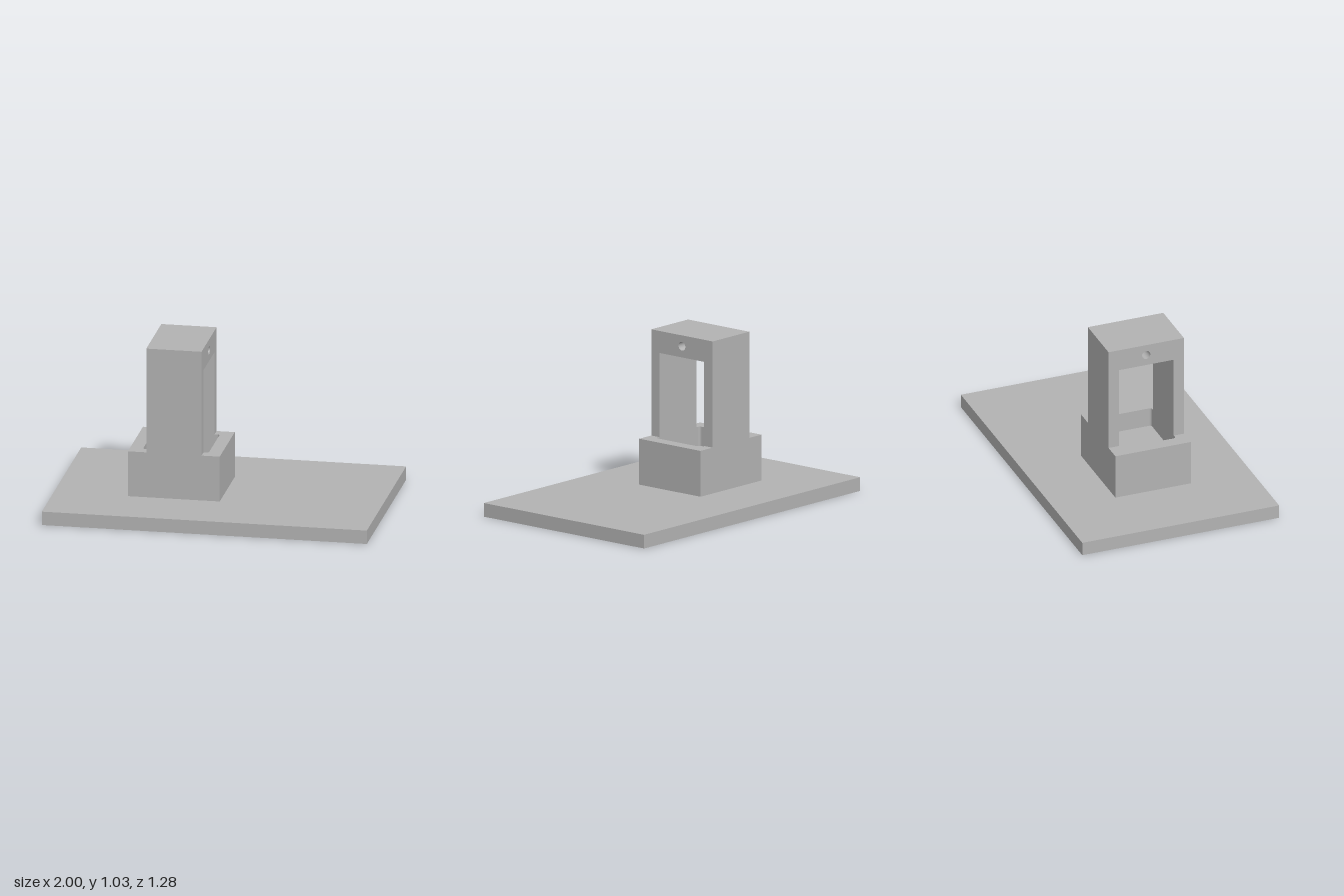
import * as THREE from 'three';

const DEPTH = 0.49; // shared z depth of pedestal and tower
const PLATE_TOP = 0.085, POCKET_FLOOR = 0.25, PEDESTAL_TOP = 0.37, TOWER_TOP = 1.03;

function rectangle(path, x0, y0, x1, y1) {
  path.moveTo(x0, y0).lineTo(x1, y0).lineTo(x1, y1).lineTo(x0, y1).closePath();
  return path;
}

function roundedRectangle(path, x0, y0, x1, y1, r) {
  path.moveTo(x0 + r, y0).lineTo(x1 - r, y0);
  path.absarc(x1 - r, y0 + r, r, -Math.PI / 2, 0, false);
  path.absarc(x1 - r, y1 - r, r, 0, Math.PI / 2, false);
  path.absarc(x0 + r, y1 - r, r, Math.PI / 2, Math.PI, false);
  path.absarc(x0 + r, y0 + r, r, Math.PI, Math.PI * 1.5, false);
  return path;
}

export function createModel() {
  const model = new THREE.Group();
  model.name = 'windowTowerOnPlate';
  const gray = new THREE.MeshStandardMaterial({ color: 0xb2b2b2 });
  gray.name = 'plainGray';

  const add = (name, geometry, x, y, z) => {
    const mesh = new THREE.Mesh(geometry, gray);
    mesh.name = name;
    mesh.position.set(x, y, z);
    model.add(mesh);
  };

  // Flat base plate
  add('basePlate', new THREE.BoxGeometry(2, PLATE_TOP, 1.28), 0, PLATE_TOP / 2, 0);

  // Solid lower pedestal, whose top is the pocket floor
  const lowerHeight = POCKET_FLOOR - PLATE_TOP;
  add('pedestal', new THREE.BoxGeometry(0.565, lowerHeight, DEPTH),
    -0.2625, PLATE_TOP + lowerHeight / 2, 0);

  // Pedestal rim around the rounded pocket
  const rim = rectangle(new THREE.Shape(), -0.545, -DEPTH / 2, 0.02, DEPTH / 2);
  rim.holes.push(roundedRectangle(new THREE.Path(), -0.465, -0.18, -0.06, 0.18, 0.015));
  const rimGeometry = new THREE.ExtrudeGeometry(rim, {
    depth: PEDESTAL_TOP - POCKET_FLOOR, bevelEnabled: false, curveSegments: 6,
  });
  rimGeometry.rotateX(-Math.PI / 2);
  add('pocketRim', rimGeometry, 0, POCKET_FLOOR, 0);

  // Tower: an arch with a large window and a small round hole above it
  const w = DEPTH / 2, i = 0.178, windowTop = 0.893;
  const arch = new THREE.Shape();
  arch.moveTo(-w, PEDESTAL_TOP).lineTo(-i, PEDESTAL_TOP).lineTo(-i, windowTop)
    .lineTo(i, windowTop).lineTo(i, PEDESTAL_TOP).lineTo(w, PEDESTAL_TOP)
    .lineTo(w, TOWER_TOP).lineTo(-w, TOWER_TOP).closePath();
  arch.holes.push(new THREE.Path().absarc(0, 0.962, 0.027, 0, Math.PI * 2, true));
  const archGeometry = new THREE.ExtrudeGeometry(arch, {
    depth: 0.34, bevelEnabled: false, curveSegments: 32,
  });
  archGeometry.rotateY(Math.PI / 2);
  add('tower', archGeometry, -0.432, 0, 0);

  return model;
}
